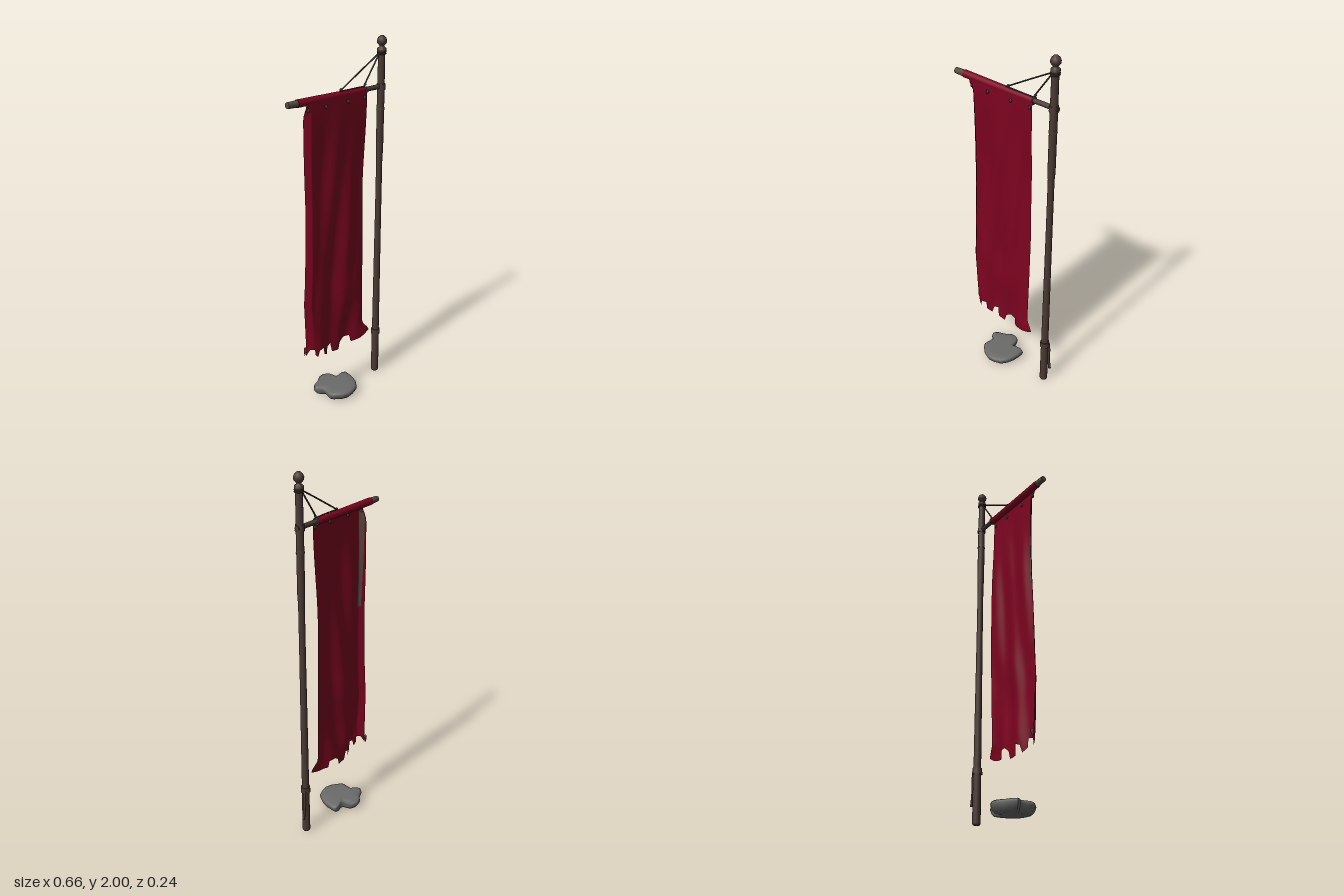
import * as THREE from 'three';

const mat = (name, color) => {
  const m = new THREE.MeshStandardMaterial({ color, side: THREE.DoubleSide });
  m.name = name;
  return m;
};

// linear interpolation through [key, value] pairs with rising keys
function lerpTable(table, k) {
  if (k <= table[0][0]) return table[0][1];
  for (let i = 1; i < table.length; i++) {
    const [a, va] = table[i - 1], [b, vb] = table[i];
    if (k <= b) return va + (vb - va) * (k - a) / (b - a);
  }
  return table[table.length - 1][1];
}

// indexed surface from a (u, v) -> [x, y, z] rule
function surface(nu, nv, rule) {
  const g = new THREE.PlaneGeometry(1, 1, nu, nv);
  const p = g.attributes.position;
  for (let j = 0; j <= nv; j++)
    for (let i = 0; i <= nu; i++) p.setXYZ(j * (nu + 1) + i, ...rule(i / nu, j / nv));
  g.computeVertexNormals();
  return g;
}

// cloth edges and ragged hem
const LEFT = [[0.3, -0.237], [0.4, -0.235], [0.65, -0.247], [0.8, -0.238], [1.2, -0.226], [1.74, -0.23]];
const RIGHT = [[0.4, 0.165], [0.95, 0.168], [1.2, 0.164], [1.74, 0.172]];
const HEM = [[0, 0.32], [0.04, 0.365], [0.09, 0.365], [0.1, 0.33], [0.14, 0.31], [0.16, 0.35], [0.24, 0.355],
  [0.255, 0.31], [0.33, 0.29], [0.35, 0.33], [0.42, 0.34], [0.44, 0.285], [0.56, 0.278], [0.585, 0.32],
  [0.66, 0.342], [0.76, 0.34], [0.775, 0.298], [0.9, 0.303], [0.95, 0.312], [1, 0.33]];

function clothPoint(u, y) {
  const l = lerpTable(LEFT, y), r = lerpTable(RIGHT, y);
  const drop = THREE.MathUtils.smoothstep(1.74 - y, 0, 0.5);
  const tip = THREE.MathUtils.smoothstep(0.4 - y, 0, 0.07);
  // diagonal folds, with a sagging fold low down
  const fold = 0.009 * Math.sin(u * 9 + y * 2.6 - 1)
    + 0.007 * Math.sin(u * 17 - y * 4.2) * Math.sin(Math.PI * u)
    + 0.006 * Math.sin(y * 14 - 22 * (u - 0.55) ** 2) * Math.sin(Math.PI * u) * THREE.MathUtils.smoothstep(1 - y, 0, 0.4);
  let z = THREE.MathUtils.lerp(0.016, 0.007 + fold, drop);
  // left edge curls backward, right corner flicks forward
  z -= 0.027 * Math.max(0, 1 - u / 0.07) * THREE.MathUtils.smoothstep(1.74 - y, 0, 0.08);
  const flick = tip * Math.max(0, (u - 0.86) / 0.14);
  return [l + (r - l) * u + 0.038 * flick, y, z + 0.012 * flick];
}

export function createModel() {
  const root = new THREE.Group();
  root.name = 'bannerStand';
  const wood = mat('dark wood', 0x4b3a34);
  const paleWood = mat('weathered wood', 0x554b40);
  const cloth = mat('crimson cloth', 0x7c0320);
  const rope = mat('dark rope', 0x3c352e);
  const stone = mat('grey stone', 0x6b6c6a);

  const add = (name, geo, m, x = 0, y = 0, z = 0) => {
    const mesh = new THREE.Mesh(geo, m);
    mesh.name = name;
    mesh.position.set(x, y, z);
    root.add(mesh);
    return mesh;
  };
  const path = (pts) => new THREE.CatmullRomCurve3(pts.map((p) => new THREE.Vector3(...p)));
  const cord = (name, pts, r, m = rope) => add(name, new THREE.TubeGeometry(path(pts), 16, r, 6), m);
  const PX = 0.286;

  // upright pole with collars, neck and finial
  const profile = [[0, 0.004], [0.018, 0.004], [0.022, 0.012], [0.021, 0.26], [0.02, 0.3], [0.019, 0.6],
    [0.017, 1.05], [0.0165, 1.36], [0.0195, 1.4], [0.0195, 1.7], [0.018, 1.9], [0.019, 1.912], [0.023, 1.92],
    [0.023, 1.934], [0.013, 1.942], [0.013, 1.948], [0.024, 1.96], [0.026, 1.972], [0.021, 1.986],
    [0.009, 1.997], [0, 2]];
  add('pole', new THREE.LatheGeometry(profile.map((p) => new THREE.Vector2(...p)), 14), wood, PX);
  for (const [y, h, r] of [[0.278, 0.032, 0.027], [1.625, 0.014, 0.022], [1.74, 0.03, 0.024]])
    add('poleCollar', new THREE.CylinderGeometry(r - 0.002, r, h, 14), wood, PX, y);

  // loose splinter at the foot
  cord('poleSplinter', [[0.305, 0.28, -0.01], [0.309, 0.24, -0.011], [0.311, 0.16, -0.01], [0.32, 0.1, -0.01]], 0.008, wood);

  // crossbar: inner rod, cloth sleeve and bare tip
  const bar = (name, x0, x1, y0, y1, r0, r1, m) => {
    const mesh = add(name, new THREE.CylinderGeometry(r1, r0, Math.hypot(x1 - x0, y1 - y0), 14), m,
      (x0 + x1) / 2, (y0 + y1) / 2, -0.002);
    mesh.rotation.z = Math.atan2(y1 - y0, x1 - x0) - Math.PI / 2;
  };
  bar('crossbar', 0.16, 0.31, 1.742, 1.74, 0.0125, 0.0125, wood);
  bar('crossbarTip', -0.333, -0.26, 1.75, 1.749, 0.0155, 0.018, paleWood);
  bar('clothSleeve', -0.275, 0.168, 1.749, 1.741, 0.02, 0.0175, cloth);

  // hanging cloth with a torn hem
  const banner = surface(110, 70, (u, v) => {
    const plain = 1.742 + (0.39 - 1.742) * Math.min(v / 0.85, 1);
    const t = Math.max(0, (v - 0.85) / 0.15);
    return clothPoint(u, plain + (lerpTable(HEM, u) - 0.39) * t);
  });
  add('bannerCloth', banner, cloth);

  // weathered strip inside the curled edge, and the frayed corner
  add('rearStrip', surface(5, 24, (u, v) => {
    const [x, y, z] = clothPoint(0.012 + 0.03 * v + 0.055 * u, 1.71 - 0.52 * v);
    return [x + 0.003, y, z - 0.003];
  }), paleWood);
  const fray = add('frayedCorner', new THREE.ConeGeometry(0.011, 0.055, 6), paleWood, -0.237, 0.342, -0.027);
  fray.rotation.z = Math.PI - 0.2;
  fray.scale.z = 0.7;

  // stays from the pole top to the crossbar, with their knots
  for (const x of [0.0, 0.166]) {
    cord('stayRope', [[0.275, 1.914, -0.002], [(0.275 + x) / 2, 1.839, -0.002], [x, 1.762, -0.002]], 0.004);
    add('ropeKnot', new THREE.SphereGeometry(0.007, 8, 6), rope, x + 0.008, 1.769, -0.002);
  }
  cord('lashingTail', [[0.0, 1.764, 0.003], [0.06, 1.763, 0.004], [0.12, 1.762, 0.002], [0.168, 1.76, 0]], 0.003);
  const binding = add('ropeBinding', new THREE.TorusGeometry(0.017, 0.0035, 6, 18), paleWood, 0.168, 1.741, -0.002);
  binding.rotation.y = Math.PI / 2;
  for (const y of [1.908, 1.916]) {
    const ring = add('poleLashing', new THREE.TorusGeometry(0.0205, 0.004, 6, 18), rope, PX, y);
    ring.rotation.x = Math.PI / 2;
  }
  // small ties below the sleeve
  for (const x of [-0.215, -0.107, 0.04, 0.155]) {
    const [, , z] = clothPoint((x + 0.23) / 0.4, 1.708);
    const tie = add('clothTie', new THREE.SphereGeometry(0.008, 8, 6), rope, x, 1.708, z);
    tie.scale.set(1, 1.3, 0.9);
  }

  // flat stone: a star-shaped outline scaled through height
  const outline = [[-0.155, -0.055], [-0.135, -0.076], [-0.09, -0.095], [-0.06, -0.118], [-0.03, -0.122],
    [-0.002, -0.108], [0.008, -0.08], [0.014, -0.051], [0.035, -0.049], [0.07, -0.057], [0.09, -0.048],
    [0.09, -0.02], [0.084, 0.02], [0.07, 0.06], [0.04, 0.1], [0, 0.115], [-0.04, 0.12], [-0.08, 0.105],
    [-0.12, 0.07], [-0.13, 0.052], [-0.124, 0.02], [-0.12, -0.015], [-0.145, -0.032]];
  const rings = [[0, 0.062], [0.6, 0.063], [0.88, 0.061], [0.97, 0.054], [1, 0.043], [0.93, 0.022], [0.82, 0.008],
    [0.7, 0.004], [0, 0.004]];
  const n = outline.length;
  add('stone', surface(n, rings.length - 1, (u, v) => {
    const [x, z] = outline[(n - Math.round(u * n)) % n];
    const [s, y] = rings[Math.round(v * (rings.length - 1))];
    return [-0.03 + (x + 0.03) * s, y, z * s];
  }), stone);

  return root;
}
